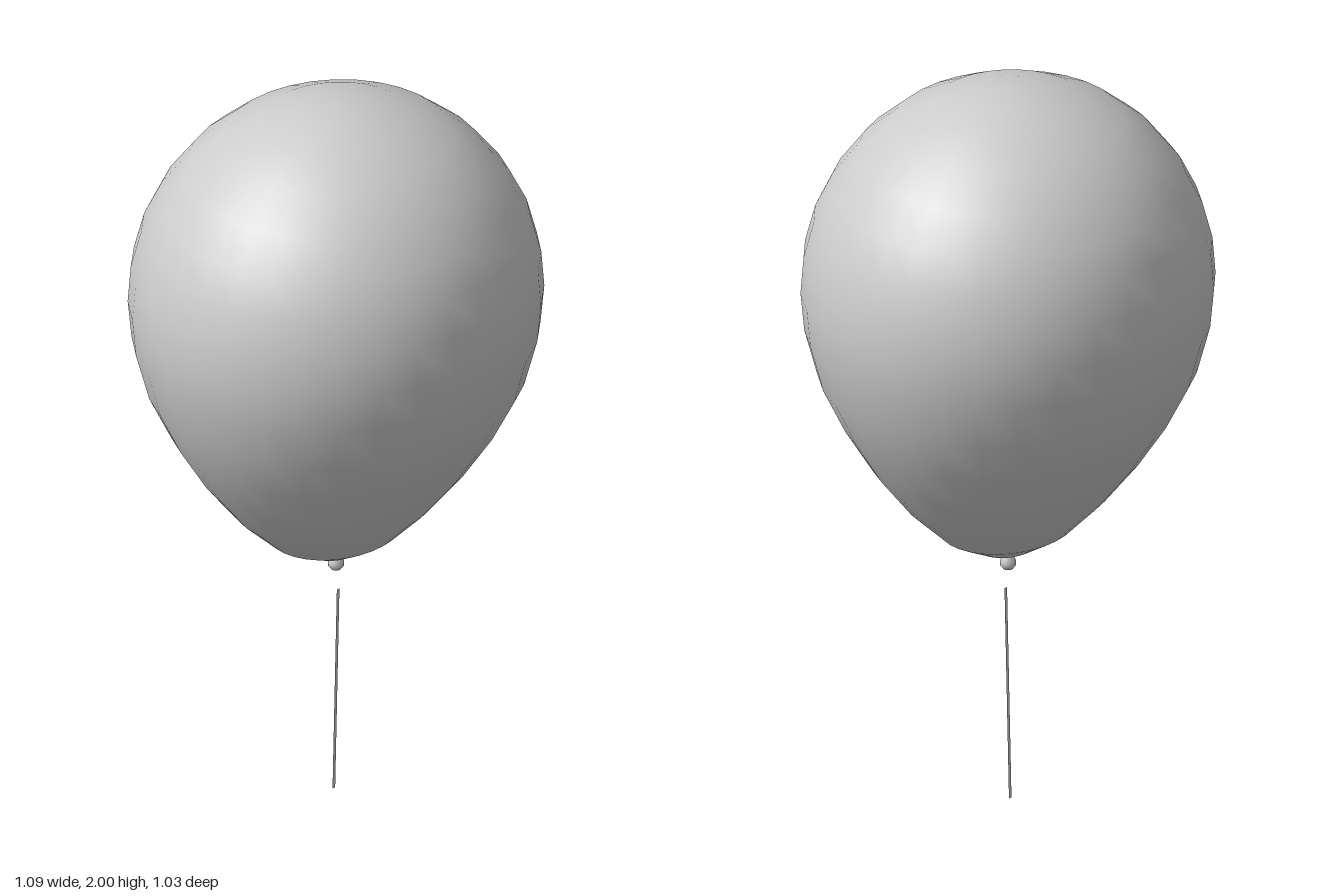
import * as THREE from 'three';
import { mergeVertices } from 'three/addons/utils/BufferGeometryUtils.js';

const material = new THREE.MeshStandardMaterial({ color: 0xcccccc, side: THREE.DoubleSide });

// Smooth turned form; depth(y) gives the z scale at each height
function turned(name, profile, segments, depth = () => 1) {
  const lathe = new THREE.LatheGeometry(profile.map(([r, y]) => new THREE.Vector2(r, y)), segments);
  const pos = lathe.attributes.position;
  for (let i = 0; i < pos.count; i++) pos.setZ(i, pos.getZ(i) * depth(pos.getY(i)));
  // weld the seam so the shading stays smooth all round
  lathe.deleteAttribute('uv');
  lathe.deleteAttribute('normal');
  const geometry = mergeVertices(lathe, 1e-5);
  geometry.computeVertexNormals();
  const mesh = new THREE.Mesh(geometry, material);
  mesh.name = name;
  return mesh;
}

export function createModel() {
  const group = new THREE.Group();
  group.name = 'balloon';

  // Inflated body: slightly flattened front to back, more so towards the neck
  const body = [
    [0, 0.7], [0.09, 0.717], [0.195, 0.775], [0.29, 0.868], [0.375, 0.98], [0.445, 1.1],
    [0.5, 1.22], [0.535, 1.35], [0.545, 1.455], [0.537, 1.555], [0.51, 1.655],
    [0.465, 1.745], [0.395, 1.835], [0.305, 1.91], [0.2, 1.962], [0.1, 1.992], [0, 2],
  ];
  group.add(turned('body', body, 32,
    y => THREE.MathUtils.lerp(0.8, 0.945, THREE.MathUtils.smoothstep(y, 0.6, 1.25))));

  // Small pear-shaped knot under the neck
  const knot = [
    [0, 0.645], [0.013, 0.648], [0.02, 0.657], [0.021, 0.667], [0.017, 0.678],
    [0.01, 0.69], [0.008, 0.705],
  ];
  group.add(turned('knot', knot, 16));

  // Flat string hanging free, leaning slightly backwards
  const string = new THREE.Mesh(new THREE.PlaneGeometry(0.01, 0.59), material);
  string.name = 'string';
  string.position.set(0, 0.295, 0);
  string.rotation.x = 0.025;
  group.add(string);

  return group;
}
